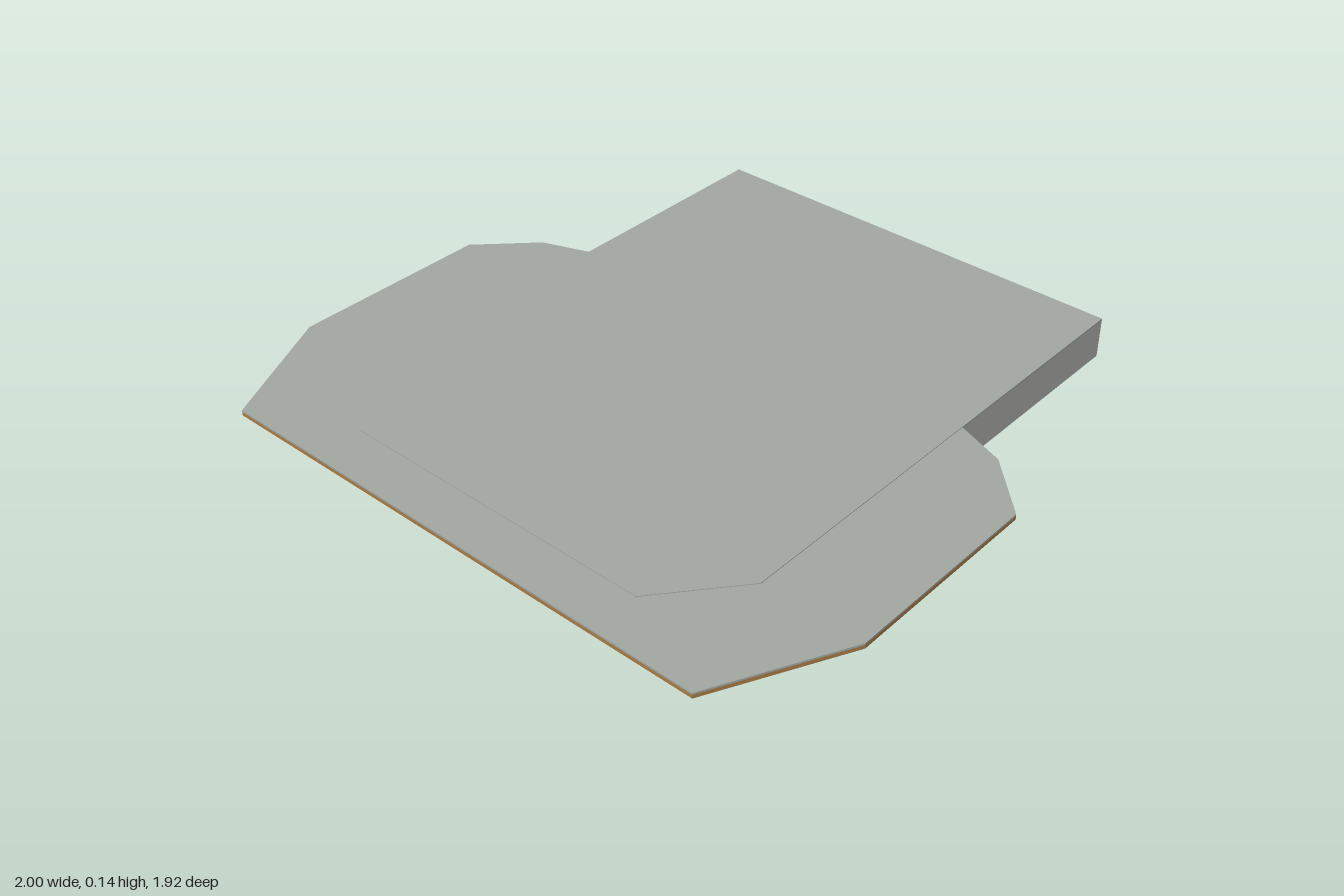
import * as THREE from 'three';

const mat = (name, color) => {
  const m = new THREE.MeshStandardMaterial({ color });
  m.name = name;
  return m;
};

export function createModel() {
  const model = new THREE.Group();
  const roofGrey = mat('roof grey', 0xa4a9a4);
  const wallGrey = mat('wall grey', 0xb0b3ae);
  const glass = mat('glass blue', 0x8dbcc4);
  const wood = mat('wood', 0xa87c46);
  const dark = mat('dark steel', 0x3c4042);

  const add = (name, geo, material) => {
    const mesh = new THREE.Mesh(geo, material);
    mesh.name = name;
    model.add(mesh);
    return mesh;
  };
  const box = (name, w, h, d, x, y, z, material) =>
    add(name, new THREE.BoxGeometry(w, h, d), material).position.set(x, y, z);

  // Horizontal slab from an outline of [x, z] points
  const slab = (name, pts, y0, y1, material) => {
    const shape = new THREE.Shape(pts.map(([x, z]) => new THREE.Vector2(x, -z)));
    const geo = new THREE.ExtrudeGeometry(shape, { depth: y1 - y0, bevelEnabled: false });
    geo.rotateX(-Math.PI / 2).translate(0, y0, 0);
    add(name, geo, material);
  };

  // Upright panel from a to b, its outer face set "inset" inside the line
  const panel = (name, a, b, y0, y1, thick, material, inset = 0) => {
    const dx = b[0] - a[0], dz = b[1] - a[1], len = Math.hypot(dx, dz);
    const off = inset + thick / 2;
    const mesh = add(name, new THREE.BoxGeometry(len, y1 - y0, thick), material);
    mesh.position.set((a[0] + b[0]) / 2 - dz / len * off, (y0 + y1) / 2, (a[1] + b[1]) / 2 + dx / len * off);
    mesh.rotation.y = -Math.atan2(dz, dx);
  };
  const lerp = (a, b, t) => [a[0] + (b[0] - a[0]) * t, a[1] + (b[1] - a[1]) * t];
  const mirror = (pts) => [...pts, ...pts.map(([x, z]) => [-x, z]).reverse()];

  // Roof: wide eave slab with a slightly raised core over the rooms
  const eave = mirror([[0.69, -0.255], [0.84, -0.2], [1, -0.04], [1, 0.58], [0.81, 0.96]]);
  const core = mirror([[0.69, -0.96], [0.69, 0.58], [0.5, 0.81]]);
  slab('eaveRoof', eave, 0.131, 0.137, roofGrey);
  slab('coreRoof', core, 0.132, 0.1395, roofGrey);

  // Wooden fascia with a grey upper edge round the eaves
  for (let i = 0; i < eave.length - 1; i++) {
    panel('fascia', eave[i], eave[i + 1], 0.12, 0.1315, 0.012, wood);
  }

  // Ceiling beams across the eaves
  const halfWidth = (z) => {
    for (let i = 0; i < 4; i++) {
      const [x0, z0] = eave[i], [x1, z1] = eave[i + 1];
      if (z >= z0 && z <= z1) return x0 + (x1 - x0) * (z - z0) / (z1 - z0);
    }
    return 0.69;
  };
  for (let i = 0; i < 9; i++) {
    const z = -0.18 + i * 0.135;
    box('ceilingBeam', 2 * (halfWidth(z) - 0.025), 0.01, 0.014, 0, 0.127, z, dark);
  }

  // A glazed stretch: glass below, grey band above, posts between bays
  const glazed = (a, b, stops, fullPosts) => {
    panel('windowGlass', a, b, 0.01, 0.073, 0.008, glass, 0.002);
    panel('upperWall', a, b, 0.073, 0.132, 0.01, wallGrey);
    const len = Math.hypot(b[0] - a[0], b[1] - a[1]), h = 0.0025 / len;
    for (const t of stops) {
      const top = fullPosts ? 0.122 : 0.073;
      panel('windowPost', lerp(a, b, t - h), lerp(a, b, t + h), 0.01, top, 0.013, wood, -0.001);
    }
  };

  for (const s of [1, -1]) {
    // Keep the running direction the same so insets always point inward
    const run = (a, b) => (s > 0 ? [a, b] : [[-b[0], b[1]], [-a[0], a[1]]]);
    const flip = (ts) => (s > 0 ? ts : ts.map((t) => 1 - t));

    // Plain rear side wall in two courses, with a wooden strip at the ceiling
    const rear = run([0.69, -0.96], [0.69, -0.19]);
    panel('rearWallLower', ...rear, 0.01, 0.073, 0.01, wallGrey);
    panel('rearWallUpper', ...rear, 0.073, 0.137, 0.01, wallGrey);
    panel('ceilingStrip', ...run([0.69, -0.96], [0.69, -0.255]), 0.124, 0.132, 0.006, wood, 0.01);

    // Glazed side, corner and front walls
    glazed(...run([0.69, -0.19], [0.69, 0.58]), flip([0.004, 0.15, 0.3, 0.604, 0.8, 0.996]), false);
    glazed(...run([0.69, 0.58], [0.5, 0.81]), flip([0.33, 0.66]), false);
    glazed(...run([0.5, 0.81], [0.08, 0.81]), flip([0.006, 0.25, 0.5, 0.75, 0.994]), true);

    // Side door reaching the ground
    panel('sideDoor', ...run([0.69, 0.155], [0.69, 0.235]), 0.002, 0.07, 0.008, glass, -0.001);
    panel('doorSill', ...run([0.69, 0.155], [0.69, 0.235]), 0, 0.003, 0.012, dark, -0.002);
    for (const z of [0.155, 0.235]) {
      panel('doorJamb', ...run([0.69, z - 0.002], [0.69, z + 0.002]), 0, 0.073, 0.013, dark, -0.002);
    }

    // Dark corner posts
    for (const [x, z] of [[0.686, 0.579], [0.498, 0.806]]) {
      box('cornerPost', 0.009, 0.112, 0.009, s * x, 0.066, z, wood);
    }
  }

  // Lintel over the open front entrance
  box('entranceLintel', 0.16, 0.032, 0.01, 0, 0.116, 0.805, wallGrey);

  return model;
}
